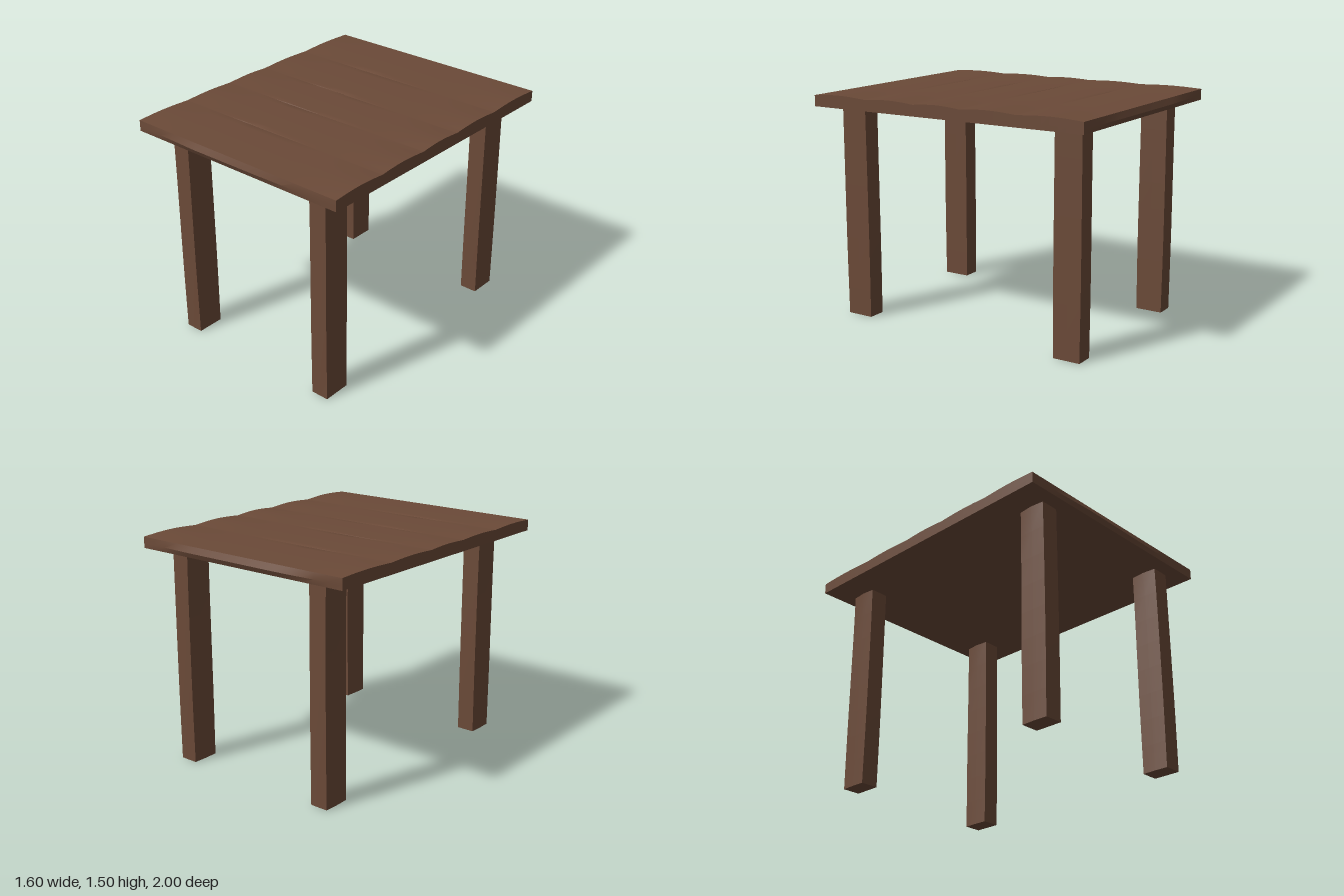
import * as THREE from 'three';
import { toCreasedNormals } from 'three/addons/utils/BufferGeometryUtils.js';

const wood = new THREE.MeshStandardMaterial({ color: 0x6b4a38 });

// Linear interpolation through [position, value] pairs
function ramp(points, t) {
  if (t <= points[0][0]) return points[0][1];
  for (let i = 1; i < points.length; i++) {
    const [a, va] = points[i - 1], [b, vb] = points[i];
    if (t <= b) return va + (vb - va) * (t - a) / (b - a);
  }
  return points[points.length - 1][1];
}

// Moves every vertex of a box by a rule, keeping sharp edges crisp
function shapedBox(size, segments, rule) {
  const geo = new THREE.BoxGeometry(...size, ...segments);
  const pos = geo.attributes.position, v = new THREE.Vector3();
  for (let i = 0; i < pos.count; i++) {
    rule(v.fromBufferAttribute(pos, i));
    pos.setXYZ(i, v.x, v.y, v.z);
  }
  return toCreasedNormals(geo, 0.45);
}

// Table top: five gently crowned planks with worn grooves and swollen ends
function topGeometry() {
  const seams = [-0.982, -0.54, -0.14, 0.2, 0.58, 0.982];
  const steps = [0, 0.015, 0.12, 0.25, 0.38, 0.5, 0.62, 0.75, 0.88, 0.985];
  const crown = [[-0.8, 0.007], [-0.5, 0.002], [0.4, 0.001], [0.8, 0.011]];
  const groove = [[-0.55, 0], [-0.3, 0.003], [0.1, 0.002], [0.35, 0]];
  const frontSwell = [[-0.8, 0], [-0.3, 0.018], [0.2, 0.013], [0.8, 0]];
  const backSwell = [[-0.8, 0], [-0.35, 0.018], [0.4, 0.015], [0.8, 0]];
  const n = steps.length, count = n * 5;
  return shapedBox([1.6, 2, 2], [16, 2, count], (v) => {
    const k = Math.round((v.z + 1) / 2 * count);
    const plank = Math.min(4, Math.floor(k / n));
    const u = k === count ? 1 : steps[k % n];
    const row = Math.round(v.y);
    const inSeam = k % n === 0 && k > 0 && k < count;
    const top = 1.487 + ramp(crown, v.x) * Math.sin(Math.PI * u) - (inSeam ? ramp(groove, v.x) : 0);
    v.z = seams[plank] + (seams[plank + 1] - seams[plank]) * u;
    v.y = row < 0 ? 1.415 : row > 0 ? top : 1.447;
    // mid row of each end pushes outward
    if (row === 0 && k === count) v.z += ramp(frontSwell, v.x);
    if (row === 0 && k === 0) v.z -= ramp(backSwell, v.x);
  });
}

// Leg: square post with a flat +x face and slightly hewn other faces
function legGeometry() {
  const sideSwell = [[0, 0.002], [0.45, 0.009], [0.9, 0.007], [1.42, 0.003]];
  const innerSwell = [[0, 0.004], [0.6, 0.001], [1.18, 0.001], [1.42, 0.013]];
  return shapedBox([0.12, 1.42, 0.18], [2, 8, 2], (v) => {
    v.y += 0.71;
    const midX = Math.abs(v.x) < 0.01, midZ = Math.abs(v.z) < 0.01;
    if (!midZ) v.z += Math.sign(v.z) * ramp(sideSwell, v.y) * (midX ? 1 : 0.5);
    if (v.x < -0.01) v.x -= ramp(innerSwell, v.y) * (midZ ? 1 : 0.3);
  });
}

export function createModel() {
  const table = new THREE.Group();
  table.name = 'table';

  const top = new THREE.Mesh(topGeometry(), wood);
  top.name = 'tableTop';
  table.add(top);

  const legGeo = legGeometry();
  for (const [side, x] of [['Right', -0.54], ['Left', 0.58]]) {
    for (const [end, z] of [['front', 0.795], ['back', -0.795]]) {
      const leg = new THREE.Mesh(legGeo, wood);
      leg.name = `${end}${side}Leg`;
      leg.position.set(x, 0, z);
      table.add(leg);
    }
  }
  return table;
}
